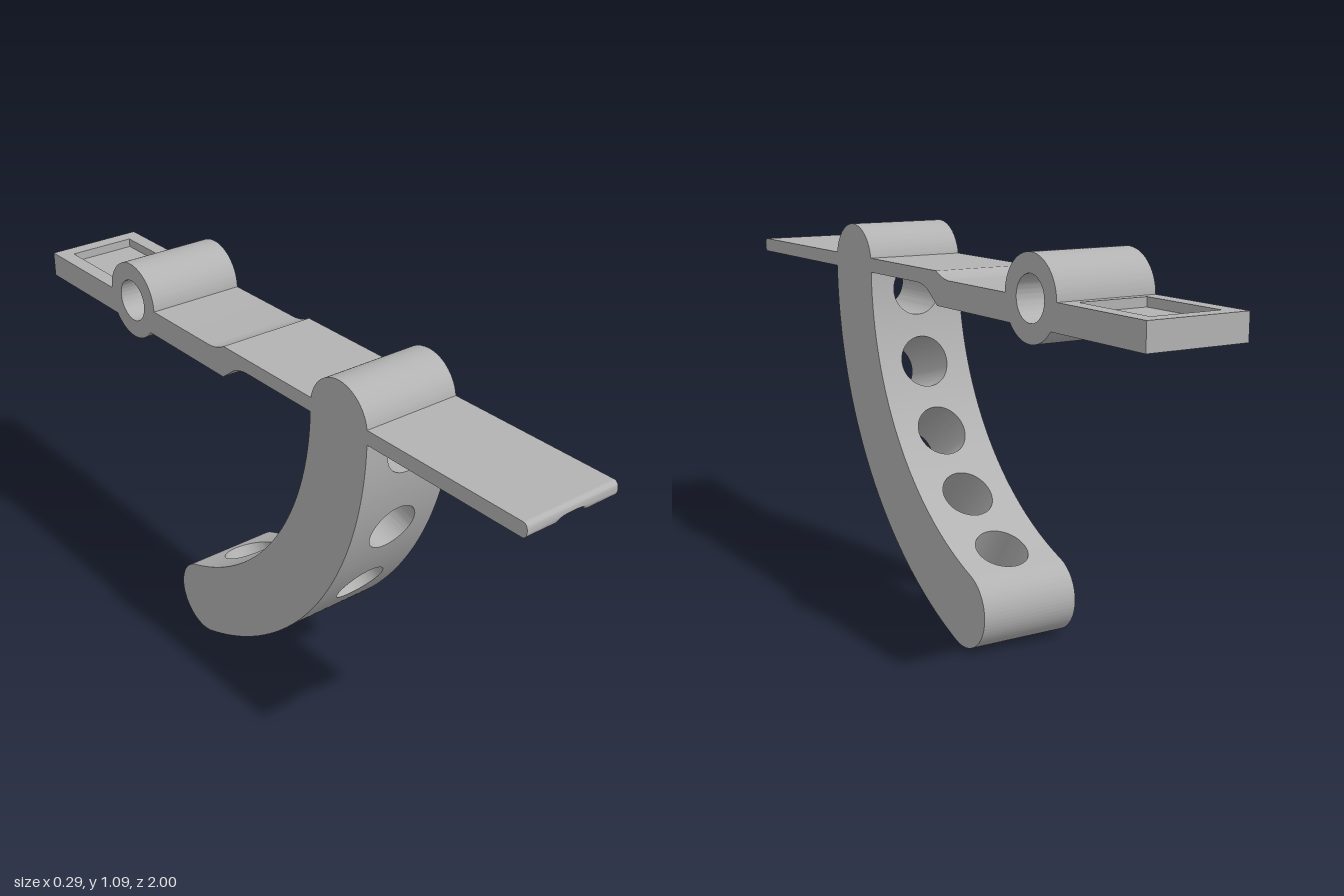
import * as THREE from 'three';
import { toCreasedNormals } from 'three/addons/utils/BufferGeometryUtils.js';

const HALF = 0.145;                       // half width of every part
const PIVOT = { y: 0.977, z: -0.555 };    // eye centre, also the arm's centre of curvature
const R_OUT = 1.03, R_IN = 0.813, R_MID = (R_OUT + R_IN) / 2;
const HOLE_R = 0.074, HOLE_DROP = 0.072;  // arm holes sit this far off the radial line
const ARM_START = -0.3, ARM_END = 70.6;   // degrees
const rad = THREE.MathUtils.degToRad;

const gray = new THREE.MeshStandardMaterial({ color: 0xb2b2b2 });
gray.name = 'plain gray';

function part(name, geometry) {
  const mesh = new THREE.Mesh(toCreasedNormals(geometry, 0.5), gray);
  mesh.name = name;
  return mesh;
}

// Side profile drawn in (z, y), extruded across the full width
function acrossWidth(shape) {
  const g = new THREE.ExtrudeGeometry(shape, { depth: HALF * 2, bevelEnabled: false, curveSegments: 32 });
  return g.translate(0, 0, -HALF).rotateY(-Math.PI / 2);
}

// Cross-section of the front blade, with the shallow groove underneath
function bladeSection() {
  const s = new THREE.Shape();
  const a = Math.asin((0.96 - 0.905) / HOLE_R);
  s.moveTo(-HALF, 0.96);
  s.lineTo(-HOLE_R * Math.cos(a), 0.96);
  s.absarc(0, 0.905, HOLE_R, Math.PI - a, a, true);
  s.lineTo(HALF, 0.96);
  s.lineTo(HALF, 1);
  s.lineTo(-HALF, 1);
  return s;
}

function bladeTip() {
  const r = 0.015, h = 0.02;
  const g = new THREE.ExtrudeGeometry(bladeSection(), { depth: r, steps: 6, bevelEnabled: false, curveSegments: 24 });
  const p = g.attributes.position;
  for (let i = 0; i < p.count; i++) {   // round the end towards its mid height
    const d = p.getZ(i);
    const f = (h - r + Math.sqrt(Math.max(0, r * r - d * d))) / h;
    p.setY(i, 0.98 + (p.getY(i) - 0.98) * f);
  }
  return g.translate(0, 0, 1 - r);
}

// Stepped rear bar with the round eye in one profile
function rearBarProfile() {
  const s = new THREE.Shape();
  const { y, z } = PIVOT, r = 0.111, low = Math.asin((y - 0.908) / r);
  s.moveTo(0.05, 0.96);
  s.lineTo(0.05, 1);
  s.lineTo(-0.11, 1);
  s.quadraticCurveTo(-0.14, 0.982, -0.175, 0.98);
  s.absarc(z, y, r, 0.027, Math.PI - 0.027, false);
  s.lineTo(-0.68, 0.98);
  s.lineTo(-0.68, 0.908);
  s.absarc(z, y, r, Math.PI + low, 2 * Math.PI - low, false);
  s.lineTo(-0.115, 0.908);
  s.lineTo(-0.07, 0.942);
  s.quadraticCurveTo(-0.045, 0.96, 0, 0.96);
  const hole = new THREE.Path();
  hole.absarc(z, y, 0.06, 0, Math.PI * 2, true);
  s.holes.push(hole);
  return s;
}

// Raised rim around the recess on the tail
function tailRim() {
  const s = new THREE.Shape();
  const rect = (p, x, z0, z1) => {
    p.moveTo(-x, -z1); p.lineTo(x, -z1); p.lineTo(x, -z0); p.lineTo(-x, -z0); p.closePath();
  };
  rect(s, HALF, -1, -0.68);
  const hole = new THREE.Path();
  rect(hole, 0.1, -0.955, -0.69);
  s.holes.push(hole);
  const g = new THREE.ExtrudeGeometry(s, { depth: 0.025, bevelEnabled: false });
  return g.rotateX(-Math.PI / 2).translate(0, 0.955, 0);
}

// Point on the arm at a radius, angle below horizontal and x
const armPoint = (R, a, x) => [x, PIVOT.y - R * Math.sin(a), PIVOT.z + R * Math.cos(a)];

// One length of curved arm with a hole: loops run from the outer rim, through the hole, to the inner rim
function armCell(theta, a0, a1) {
  const N = 14, STEPS = 6, loops = [];
  const rim = [];
  const corners = [[-1, 1], [1, 1], [1, 0], [-1, 0]];
  for (let side = 0; side < 4; side++) {
    const c = corners[side], d = corners[(side + 1) % 4];
    for (let i = 0; i < N; i++) {
      const t = i / N;
      rim.push({
        x: HALF * (c[0] + (d[0] - c[0]) * t),
        a: a0 + (a1 - a0) * (c[1] + (d[1] - c[1]) * t),
      });
    }
  }
  const centre = theta + Math.asin(HOLE_DROP / R_MID);
  const loop = (R, k) => rim.map(({ x, a }) => {
    const phi = Math.atan2(R_MID * (centre - a), x);
    const hx = HOLE_R * Math.cos(phi);
    const ha = theta + Math.asin((HOLE_DROP - HOLE_R * Math.sin(phi)) / R);
    return armPoint(R, a + (ha - a) * k, x + (hx - x) * k);
  });
  for (let i = 0; i <= STEPS; i++) loops.push(loop(R_OUT, i / STEPS));
  for (let i = STEPS; i >= 0; i--) loops.push(loop(R_IN, i / STEPS));

  const pos = [], M = rim.length;
  for (let j = 0; j < loops.length; j++) {
    const A = loops[j], B = loops[(j + 1) % loops.length];
    for (let i = 0; i < M; i++) {
      const side = Math.floor(i / N);
      if (j === loops.length - 1 && side % 2 === 0) continue;   // joints between cells stay open
      const n = (i + 1) % M;
      pos.push(...A[i], ...A[n], ...B[n], ...A[i], ...B[n], ...B[i]);
    }
  }
  const g = new THREE.BufferGeometry();
  g.setAttribute('position', new THREE.Float32BufferAttribute(pos, 3));
  return g;
}

// Half-round end of the arm, starting at the given direction in the (z, y) plane
function armCap(angle, start) {
  const [, y, z] = armPoint(R_MID, angle, 0);
  const s = new THREE.Shape();
  s.absarc(z, y, (R_OUT - R_IN) / 2, start, start + Math.PI, false);
  return acrossWidth(s);
}

export function createModel() {
  const model = new THREE.Group();
  model.name = 'pivotedLever';

  // Front blade
  const blade = new THREE.ExtrudeGeometry(bladeSection(), { depth: 0.935, bevelEnabled: false, curveSegments: 24 });
  model.add(part('frontBlade', blade.translate(0, 0, 0.05)));
  model.add(part('bladeTip', bladeTip()));

  // Rear bar, eye and recessed tail
  model.add(part('rearBarWithEye', acrossWidth(rearBarProfile())));
  const floor = new THREE.BoxGeometry(HALF * 2, 0.047, 0.32).translate(0, 0.9315, -0.84);
  model.add(part('tailFloor', floor));
  model.add(part('tailRim', tailRim()));

  // Curved arm with five holes
  const arm = new THREE.Group();
  arm.name = 'curvedArm';
  for (let k = 0; k < 5; k++) {
    const a0 = k === 0 ? ARM_START : 15 * k - 3.5;
    const a1 = k === 4 ? ARM_END : 15 * k + 11.5;
    arm.add(part('armSection' + (k + 1), armCell(rad(15 * k), rad(a0), rad(a1))));
  }
  arm.add(part('armTopCap', armCap(rad(ARM_START), -rad(ARM_START))));
  arm.add(part('armEndCap', armCap(rad(ARM_END), Math.PI - rad(ARM_END))));
  model.add(arm);

  return model;
}
